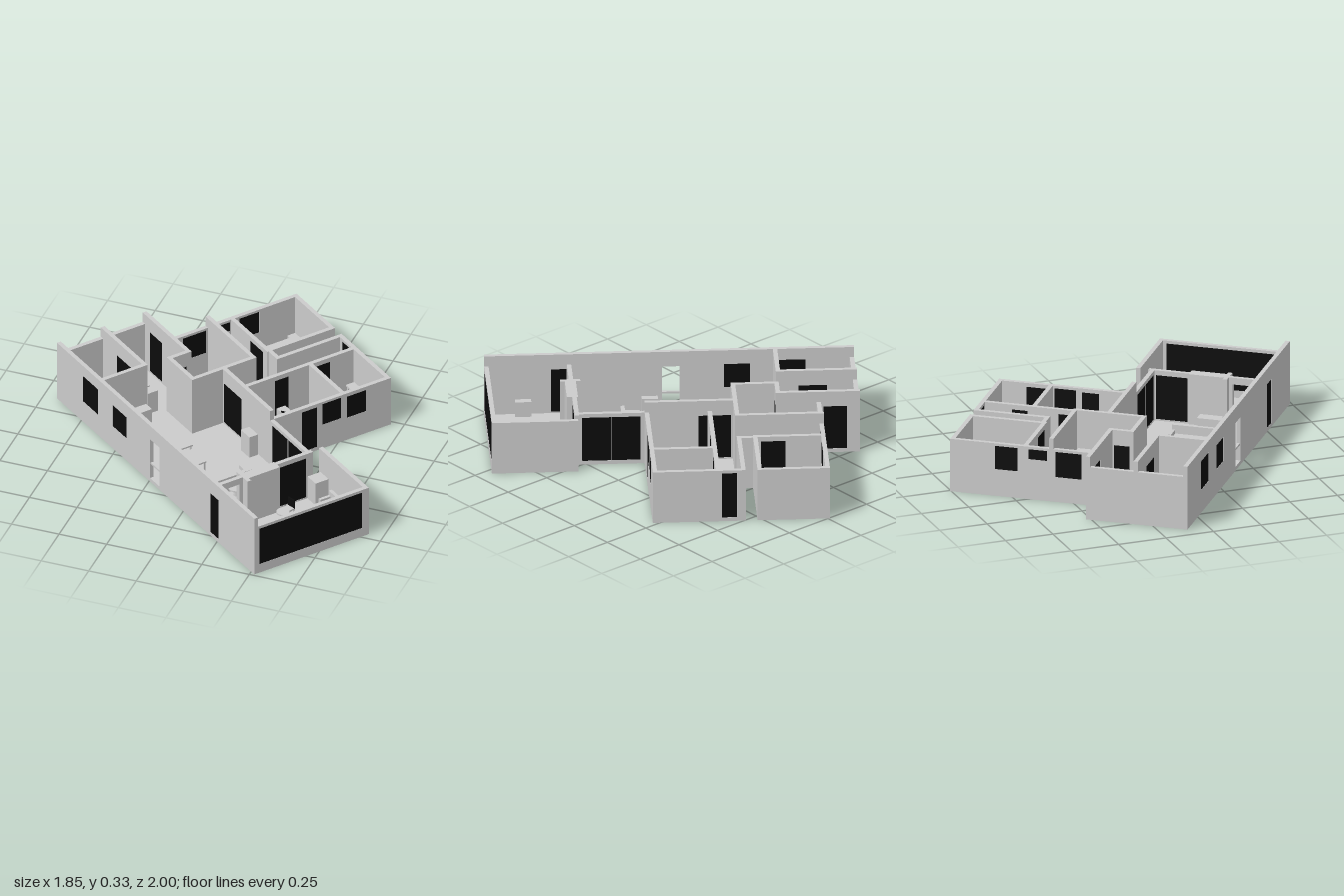
import * as THREE from 'three';

const grey = new THREE.MeshStandardMaterial({ color: 0xcccccc });
const dark = new THREE.MeshStandardMaterial({ color: 0x0c0c0c });
const T = 0.022, LOW = 0.275, HIGH = 0.33, FLOOR = 0.012;

// Plan coordinates: u runs along the long front wall, v runs from it into the house.
export function createModel() {
  const root = new THREE.Group();
  const house = new THREE.Group();
  house.name = 'house';
  house.rotation.y = -0.6486;
  house.position.set(-0.93, 0, -0.11);
  root.add(house);

  function add(name, geo, u, y, v, mat = grey, parent = house) {
    const m = new THREE.Mesh(geo, mat);
    m.name = name;
    m.position.set(u, y, -v);
    parent.add(m);
    return m;
  }
  // Box standing at height y, centred on (u, v)
  function box(name, u, v, w, d, h, y = FLOOR, mat = grey, parent = house) {
    return add(name, new THREE.BoxGeometry(w, h, d), u, y + h / 2, v, mat, parent);
  }
  // Wall along u or v; openings are [start, end, bottom, top, kind]
  function wall(name, axis, fixed, a, b, h = LOW, openings = []) {
    const g = new THREE.Group();
    g.name = name;
    g.position.set(axis === 'u' ? 0 : fixed, 0, axis === 'u' ? -fixed : 0);
    if (axis === 'v') g.rotation.y = Math.PI / 2;
    house.add(g);
    const rect = (P, x0, x1, y0, y1) => {
      const p = new P();
      p.moveTo(x0, y0); p.lineTo(x1, y0); p.lineTo(x1, y1); p.lineTo(x0, y1); p.closePath();
      return p;
    };
    const shape = rect(THREE.Shape, a, b, 0.001, h);
    for (const [s, e, y0, y1, kind] of openings) {
      shape.holes.push(rect(THREE.Path, s, e, y0, y1));
      const w = e - s, c = (s + e) / 2;
      if (kind === 'open') {
        box('transom', c, 0, w, T * 0.6, 0.01, 0.1, grey, g);
      } else {
        const n = kind === 'double' ? 2 : 1;
        for (let i = 0; i < n; i++)
          box('panel', s + w * (i + 0.5) / n, 0, w / n - (n > 1 ? 0.004 : 0), T * 0.9, y1 - y0, y0, dark, g);
        if (n > 1) box('mullion', c, 0, 0.004, T, y1 - y0, y0, grey, g);
      }
    }
    const geo = new THREE.ExtrudeGeometry(shape, { depth: T, bevelEnabled: false });
    geo.translate(0, 0, -T / 2);
    add('wallBody', geo, 0, 0, 0, grey, g);
  }

  // Floor slab
  const outline = [[0, 0], [1.823, 0], [1.823, 0.665], [1.397, 0.665], [1.397, 0.59], [1.066, 0.59],
    [1.066, 1.27], [0.608, 1.27], [0.608, 0.905], [0.55, 0.905], [0.55, 1.27], [0.193, 1.27],
    [0.193, 0.52], [0, 0.52]];
  const slab = new THREE.ExtrudeGeometry(new THREE.Shape(outline.map(p => new THREE.Vector2(...p))),
    { depth: FLOOR, bevelEnabled: false });
  slab.rotateX(-Math.PI / 2);
  add('floor', slab, 0, 0, 0);

  // Outer walls
  const t = T / 2, D = [0.02, 0.25];
  wall('frontWall', 'u', t, 0, 1.823, HIGH, [[0.24, 0.39, 0.12, 0.27], [0.514, 0.64, 0.13, 0.255],
    [0.859, 0.947, ...D, 'open'], [1.418, 1.493, ...D]]);
  wall('gableWall', 'v', 1.823 - t, 0, 0.665, LOW, [[0.03, 0.625, 0.05, 0.26]]);
  wall('denBackWall', 'u', 0.665 - t, 1.397, 1.823);
  wall('terraceWall', 'u', 0.59 - t, 1.066, 1.41, LOW, [[1.085, 1.375, 0.02, 0.255, 'double']]);
  wall('rightWingOuterWall', 'v', 1.066 - t, 0.57, 1.27, LOW,
    [[0.752, 0.84, 0.02, 0.255], [0.871, 0.98, 0.14, 0.262], [1.015, 1.125, 0.13, 0.255]]);
  wall('rightWingBackWall', 'u', 1.27 - t, 0.608, 1.066, LOW, [[0.65, 0.724, 0.02, 0.26]]);
  wall('rightSlotWall', 'v', 0.608 + t, 0.89, 1.27);
  wall('slotEndWall', 'u', 0.905 - t, 0.53, 0.63);
  wall('leftSlotWall', 'v', 0.55 - t, 0.885, 1.27);
  wall('leftWingBackWall', 'u', 1.27 - t, 0.193, 0.55);
  wall('leftWingOuterWall', 'v', 0.193 + t, 0.52, 1.27, LOW,
    [[0.597, 0.73, 0.13, 0.262], [0.775, 0.87, 0.21, 0.262], [0.925, 1.04, 0.14, 0.262]]);
  wall('sideEntryWall', 'u', 0.52 - t, 0, 0.4, HIGH, [[0.065, 0.18, ...D]]);
  wall('sideWall', 'v', t, 0, 0.52);

  // Inner walls
  wall('bedroomWall', 'u', 0.265, 0, 0.39, HIGH, [[0.15, 0.29, ...D]]);
  wall('kitchenWall', 'v', 0.39, 0, 0.275, HIGH);
  wall('bathDoorWall', 'v', 0.405, 0.39, 0.52, HIGH, [[0.41, 0.49, ...D]]);
  wall('bathFrontWall', 'u', 0.4, 0.395, 0.63, HIGH);
  wall('coreWall', 'v', 0.62, 0.39, 0.755, HIGH);
  wall('coreBackWall', 'u', 0.752, 0.193, 0.63, HIGH);
  wall('livingBackWall', 'u', 0.59 - t, 0.62, 1.066, HIGH, [[0.64, 0.8, ...D]]);
  wall('leftBedroomWall', 'u', 0.888, 0.2, 0.55, LOW, [[0.39, 0.51, ...D]]);
  wall('corridorWall', 'v', 0.745, 0.59, 1.26, LOW, [[0.79, 0.87, ...D], [1.03, 1.11, ...D]]);
  wall('studyWall', 'u', 1.0, 0.745, 1.06);
  wall('denDoorWall', 'v', 1.4, 0.38, 0.6, LOW, [[0.4, 0.56, ...D]]);
  wall('denPartition', 'v', 1.405, 0.01, 0.2, LOW, [[0.06, 0.17, 0.012, 0.24, 'open']]);
  wall('denSpur', 'u', 0.2, 1.36, 1.46);
  box('chimneyBlock', 1.41, 0.297, 0.055, 0.19, LOW - FLOOR);
  box('hearth', 1.353, 0.268, 0.06, 0.13, 0.06);

  // Furniture
  function sofa(u, v, length, depth, turn) {
    const g = new THREE.Group();
    g.name = 'sofa';
    g.position.set(u, 0, -v);
    g.rotation.y = turn;
    house.add(g);
    box('seat', 0, 0, length, depth, 0.04, FLOOR, grey, g);
    box('backrest', 0, depth / 2 - 0.01, length, 0.02, 0.085, FLOOR, grey, g);
    for (const s of [-1, 1]) box('armrest', s * (length / 2 - 0.008), 0, 0.016, depth, 0.06, FLOOR, grey, g);
  }
  function table(name, u, v, w, d, h) {
    box(name + 'Top', u, v, w, d, 0.008, h);
    for (const i of [-1, 1]) for (const j of [-1, 1])
      box(name + 'Leg', u + i * (w / 2 - 0.008), v + j * (d / 2 - 0.008), 0.008, 0.008, h - FLOOR);
  }
  function chair(u, v, turn) {
    const g = new THREE.Group();
    g.name = 'chair';
    g.position.set(u, 0, -v);
    g.rotation.y = turn;
    house.add(g);
    box('seat', 0, 0, 0.045, 0.045, 0.008, 0.045, grey, g);
    box('backrest', 0, 0.021, 0.045, 0.005, 0.05, 0.05, dark, g);
    for (const i of [-1, 1]) for (const j of [-1, 1])
      box('leg', i * 0.019, j * 0.019, 0.005, 0.005, 0.035, FLOOR, grey, g);
  }
  function roundTable(u, v, r, h) {
    add('roundTableTop', new THREE.CylinderGeometry(r, r, 0.008, 24), u, h, v);
    add('roundTableStem', new THREE.CylinderGeometry(0.008, 0.012, h - FLOOR, 12), u, (h + FLOOR) / 2, v);
  }

  sofa(1.111, 0.271, 0.27, 0.095, -Math.PI / 2);
  sofa(1.613, 0.605, 0.19, 0.08, 0);
  table('diningTable', 0.704, 0.221, 0.2, 0.125, 0.075);
  table('sideTable', 0.878, 0.227, 0.13, 0.1, 0.06);
  table('coffeeTable', 1.603, 0.517, 0.11, 0.08, 0.05);
  table('desk', 0.82, 1.225, 0.12, 0.05, 0.075);
  roundTable(1.201, 0.285, 0.037, 0.055);
  roundTable(1.503, 0.368, 0.033, 0.055);
  chair(1.485, 0.41, 0.2);
  chair(0.835, 0.79, 0.5);
  chair(0.98, 1.16, -1.2);

  // Simple solid pieces: name, u, v, width, depth, height
  const pieces = [
    ['bed', 0.36, 1.13, 0.22, 0.2, 0.06], ['nightstand', 0.24, 1.225, 0.05, 0.045, 0.05],
    ['nightstand', 0.49, 1.225, 0.05, 0.045, 0.05], ['dresser', 0.305, 0.925, 0.09, 0.04, 0.09],
    ['singleBed', 0.2, 0.14, 0.2, 0.13, 0.06], ['bathtub', 0.06, 0.37, 0.07, 0.15, 0.05],
    ['washstand', 0.115, 0.3, 0.07, 0.045, 0.08], ['cabinet', 0.275, 0.315, 0.075, 0.06, 0.12],
    ['cabinet', 0.345, 0.325, 0.05, 0.06, 0.12],
    ['kitchenCounter', 0.428, 0.165, 0.055, 0.2, 0.09], ['consoleTable', 1.008, 0.04, 0.08, 0.035, 0.08],
    ['cupboard', 1.45, 0.605, 0.075, 0.075, 0.13], ['sideboard', 1.632, 0.04, 0.08, 0.035, 0.08],
    ['shelf', 0.919, 0.54, 0.08, 0.05, 0.12], ['bench', 0.99, 0.66, 0.08, 0.06, 0.07],
    ['studyCabinet', 0.8, 0.82, 0.07, 0.05, 0.08], ['tallCabinet', 0.9, 1.235, 0.07, 0.03, 0.12],
    ['wardrobe', 1.02, 1.2, 0.05, 0.06, 0.12], ['linenCupboard', 0.585, 0.66, 0.045, 0.15, 0.12],
    ['shower', 0.25, 0.79, 0.07, 0.05, 0.1], ['basinUnit', 0.32, 0.785, 0.05, 0.05, 0.08],
    ['basinUnit', 0.5, 0.79, 0.07, 0.05, 0.08]];
  for (const p of pieces) box(...p);

  // Toilets
  for (const [u, v] of [[0.25, 0.56], [0.37, 0.545]]) {
    add('toiletBowl', new THREE.CylinderGeometry(0.022, 0.014, 0.045, 16), u, FLOOR + 0.0225, v + 0.02);
    box('toiletTank', u, v - 0.012, 0.045, 0.018, 0.075);
  }
  return root;
}
